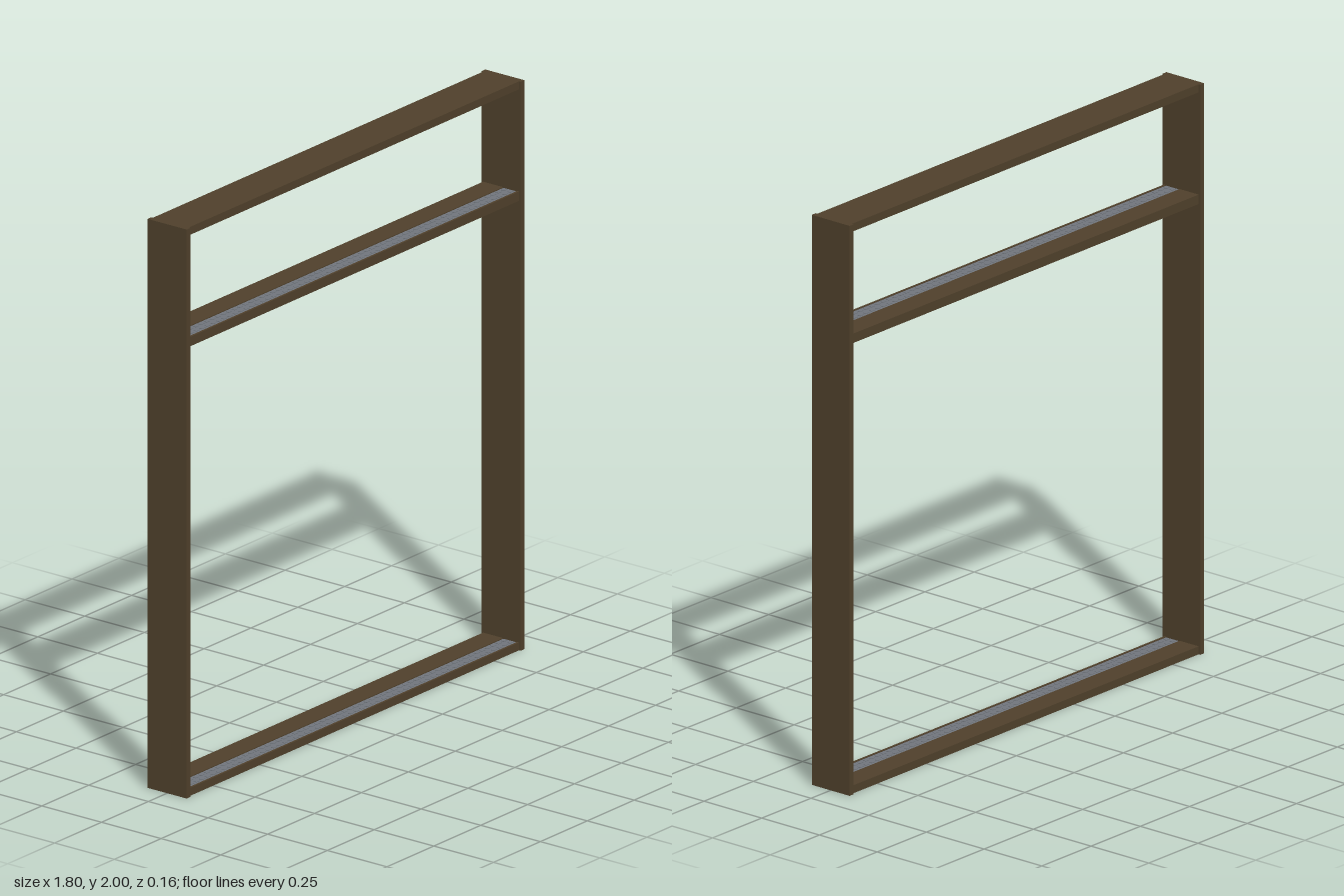
import * as THREE from 'three';
import { mergeGeometries } from 'three/addons/utils/BufferGeometryUtils.js';

const bronze = new THREE.MeshStandardMaterial({ color: 0x4f402b });
bronze.name = 'dark bronze';
const grey = new THREE.MeshStandardMaterial({ color: 0x70757c });
grey.name = 'track grey';

const HALF_WIDTH = 0.9, HEIGHT = 2, POST = 0.02, INNER = HALF_WIDTH - POST;

function box(name, size, position) {
  const mesh = new THREE.Mesh(new THREE.BoxGeometry(...size), bronze);
  mesh.name = name;
  mesh.position.set(...position);
  return mesh;
}

// Flat strip on the front half of a rail, with two rows of low teeth
function trackStrip(y) {
  const base = new THREE.BoxGeometry(2 * INNER, 0.003, 0.056);
  base.translate(0, y + 0.0015, 0.038);
  const parts = [base];
  const count = 60, pitch = (2 * INNER) / count;
  for (const z of [0.025, 0.051]) {
    for (let i = 0; i < count; i++) {
      const tooth = new THREE.BoxGeometry(pitch * 0.6, 0.002, 0.012);
      tooth.translate(-INNER + (i + 0.5) * pitch, y + 0.004, z);
      parts.push(tooth);
    }
  }
  const mesh = new THREE.Mesh(mergeGeometries(parts), grey);
  mesh.name = 'trackStrip';
  return mesh;
}

// Horizontal rail carrying a track strip behind a narrow front lip
function trackRail(name, y, height) {
  const group = new THREE.Group();
  group.name = name;
  const lip = 0.005, body = height - lip;
  group.add(box('railBody', [2 * INNER, body, 0.15], [0, y + body / 2, 0]));
  group.add(box('frontLip', [2 * INNER, lip, 0.008], [0, y + body + lip / 2, 0.071]));
  group.add(box('backLedge', [2 * INNER, lip, 0.083], [0, y + body + lip / 2, -0.0335]));
  group.add(trackStrip(y + body));
  return group;
}

// Top rail with narrow lips along its lower edges
function headRail(y, height) {
  const group = new THREE.Group();
  group.name = 'head';
  const lip = 0.005, body = height - lip;
  group.add(box('railBody', [2 * INNER, body, 0.15], [0, y + lip + body / 2, 0]));
  for (const z of [-0.071, 0.071]) {
    group.add(box('railLip', [2 * INNER, lip, 0.008], [0, y + lip / 2, z]));
  }
  return group;
}

export function createModel() {
  const frame = new THREE.Group();
  frame.name = 'windowFrame';

  // Upright posts, slightly deeper than the rails
  for (const side of [-1, 1]) {
    const name = side > 0 ? 'leftPost' : 'rightPost';
    frame.add(box(name, [POST, HEIGHT, 0.164], [side * (HALF_WIDTH - POST / 2), HEIGHT / 2, 0]));
  }

  // Sill, transom and head
  frame.add(trackRail('sill', 0, 0.028));
  frame.add(trackRail('transom', 1.58, 0.033));
  frame.add(headRail(1.972, 0.028));
  return frame;
}
